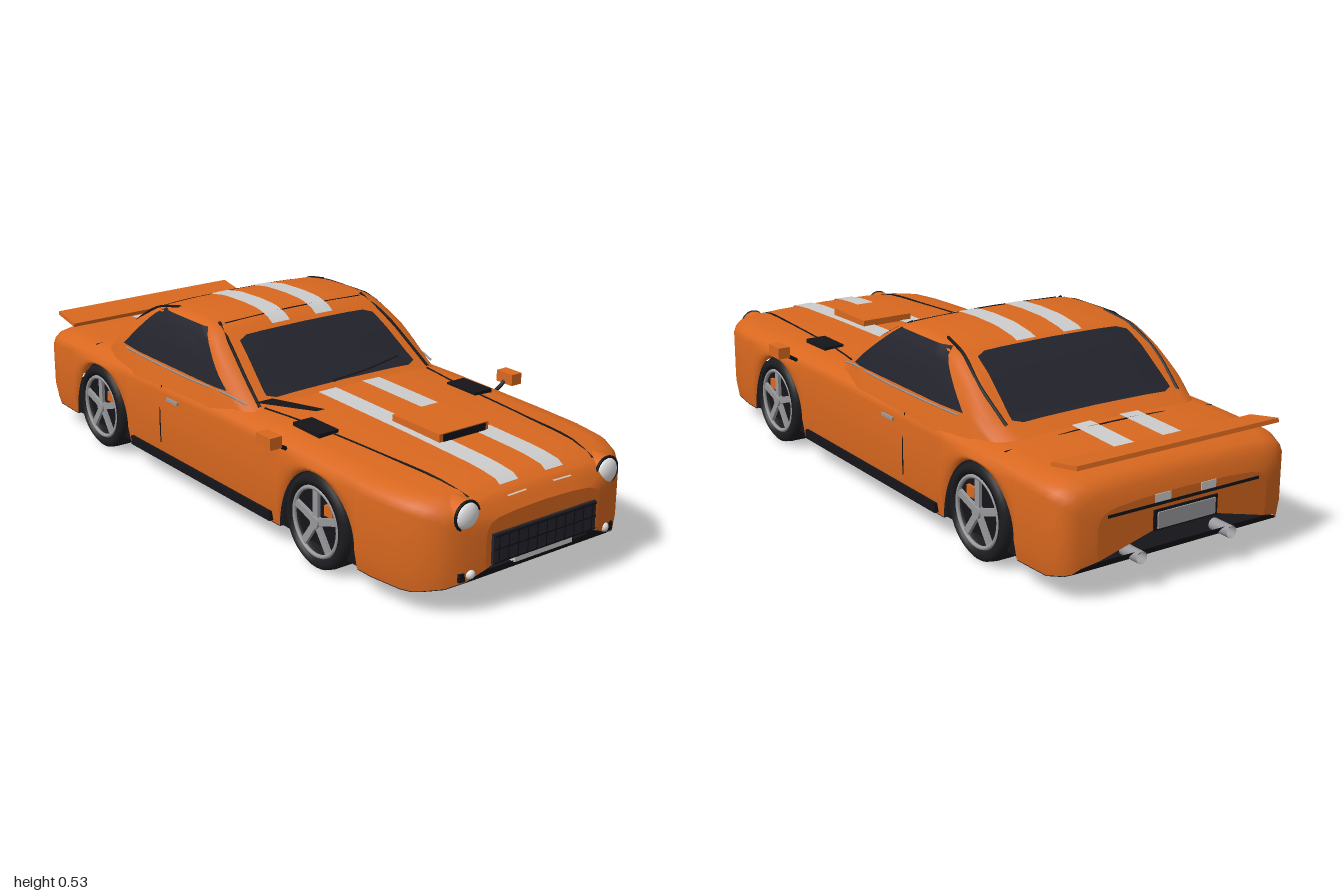
import * as THREE from 'three';

const mat = (name, color) => new THREE.MeshStandardMaterial({ name, color, side: THREE.DoubleSide });

// Linear interpolation in a list of [key, value] pairs (ascending keys)
function tab(pts, k) {
  if (k <= pts[0][0]) return pts[0][1];
  for (let i = 1; i < pts.length; i++) {
    const [a, va] = pts[i - 1], [b, vb] = pts[i];
    if (k <= b) return va + (vb - va) * (k - a) / (b - a || 1);
  }
  return pts[pts.length - 1][1];
}

// Body outline rules: half width, top and bottom heights along x
const halfW = x => tab([[-0.985, 0.28], [-0.975, 0.33], [-0.95, 0.365], [-0.9, 0.382], [-0.8, 0.386], [0.75, 0.386],
  [0.85, 0.372], [0.91, 0.345], [0.95, 0.31], [0.975, 0.26], [0.988, 0.2]], x);
const topY = x => tab([[-0.985, 0.25], [-0.975, 0.285], [-0.95, 0.315], [-0.9, 0.328], [-0.65, 0.338], [-0.2, 0.345],
  [0.2, 0.35], [0.6, 0.343], [0.85, 0.335], [0.92, 0.325], [0.96, 0.305], [0.988, 0.265]], x);
const botY = x => tab([[-0.985, 0.11], [-0.96, 0.08], [-0.9, 0.066], [0.88, 0.066], [0.95, 0.085], [0.975, 0.1], [0.988, 0.125]], x);

const AXLES = [-0.61, 0.525], ARCH_W = 0.17, ARCH_H = 0.21;
const archY = x => Math.max(0, ...AXLES.map(c => {
  const d = (x - c) / ARCH_W;
  return Math.abs(d) < 1 ? 0.066 + ARCH_H * Math.sqrt(1 - d * d) : 0;
}));

// Half cross-sections as [z, y] from the centre line outwards and down
function bodySection(x) {
  const w = halfW(x), t = topY(x), b = Math.max(botY(x), archY(x)), s = t - 0.055;
  return [[0, t], [0.5 * w, t - 0.003], [0.8 * w, t - 0.009], [0.92 * w, t - 0.018], [0.975 * w, t - 0.034], [w, s],
    [w, b + (s - b) * 0.6], [w, b + (s - b) * 0.25], [0.975 * w, b]];
}
const roofY = x => tab([[-0.68, 0.325], [-0.6, 0.37], [-0.48, 0.465], [-0.39, 0.515], [-0.3, 0.53], [-0.2, 0.533], [-0.12, 0.53],
  [-0.07, 0.517], [0.04, 0.445], [0.12, 0.385], [0.17, 0.352], [0.22, 0.33]], x);
const sideZ = (x, y) => tab([[0.29, 0.384], [0.355, 0.365], [0.4, 0.352], [0.45, 0.335], [0.49, 0.315], [0.53, 0.29]], y) *
  tab([[-0.68, 0.84], [-0.55, 0.96], [-0.4, 1], [0.02, 1], [0.22, 0.9]], x);
function cabinSection(x) {
  const h = roofY(x), s = h - 0.035, e = sideZ(x, s);
  const pts = [[0, h], [0.5 * e, h - 0.002], [e - 0.05, h - 0.007], [e - 0.014, h - 0.018], [e, s]];
  for (let i = 1; i <= 4; i++) {
    const y = s + (0.285 - s) * i / 4;
    pts.push([sideZ(x, y), y]);
  }
  return pts;
}
const yAt = (section, x, z) => tab(section(x), Math.abs(z));
const zAt = (section, x, y) => tab(section(x).map(([z, h]) => [h, z]).reverse(), y);

// Grid surface from a rule f(u, v) -> [x, y, z]
function patch(nu, nv, f) {
  const pos = [], idx = [];
  for (let i = 0; i <= nu; i++) for (let j = 0; j <= nv; j++) pos.push(...f(i / nu, j / nv));
  for (let i = 0; i < nu; i++) for (let j = 0; j < nv; j++) {
    const a = i * (nv + 1) + j, b = a + nv + 1;
    idx.push(a, a + 1, b, b, a + 1, b + 1);
  }
  const g = new THREE.BufferGeometry();
  g.setAttribute('position', new THREE.Float32BufferAttribute(pos, 3));
  g.setIndex(idx);
  g.computeVertexNormals();
  return g;
}
// Skin over mirrored cross-sections, closed at both ends
function loft(xs, section) {
  const rows = xs.map(x => {
    const h = section(x);
    return [...h.slice(1).reverse().map(([z, y]) => [x, y, -z]), ...h.map(([z, y]) => [x, y, z])];
  });
  const cap = r => r.map(p => [p[0], (r[0][1] + r[(r.length - 1) / 2][1]) / 2, 0]);
  rows.unshift(cap(rows[0]), rows[0]);
  rows.push(rows[rows.length - 1], cap(rows[rows.length - 1]));
  const nu = rows.length - 1, nv = rows[0].length - 1;
  return patch(nu, nv, (u, v) => rows[Math.round(u * nu)][Math.round(v * nv)]);
}

export function createModel() {
  const car = new THREE.Group();
  const paint = mat('orange paint', 0xd9681f), glass = mat('dark glass', 0x23232d), black = mat('black trim', 0x15151a);
  const rubber = mat('rubber', 0x1c1c20), white = mat('white stripe', 0xcdcdcd), silver = mat('silver', 0x98989c);
  const lamp = mat('lamp white', 0xe4e4e4);

  const add = (name, geo, m, p = [0, 0, 0], parent = car) => {
    const mesh = new THREE.Mesh(geo, m);
    mesh.name = name;
    mesh.position.set(...p);
    parent.add(mesh);
    return mesh;
  };
  const box = (name, s, m, p, parent) => add(name, new THREE.BoxGeometry(...s), m, p, parent);
  const line = (name, pts, r, m = black) => add(name,
    new THREE.TubeGeometry(new THREE.CatmullRomCurve3(pts.map(p => new THREE.Vector3(...p))), 16, r, 5), m);
  // Thin plate on top of a surface, with its half-width edges given by x
  const decal = (name, section, x0, x1, z0, z1, m, lift = 0.004) => add(name, patch(16, 8, (u, v) => {
    const x = x0 + (x1 - x0) * u, a = z0(u), z = a + (z1(u) - a) * v;
    return [x, yAt(section, x, z) + lift, z];
  }), m);
  const seam = (name, section, pts, r = 0.003, m = black) =>
    line(name, pts.map(([x, z]) => [x, yAt(section, x, z) + 0.001, z]), r, m);

  // Body stations, dense at the arches and the rounded ends
  const xs = [-0.985, -0.975, -0.962, -0.95, -0.925, -0.9, -0.85, -0.8, -0.3, -0.1, 0.1, 0.25, 0.75, 0.8, 0.85, 0.88, 0.91,
    0.93, 0.95, 0.962, 0.975, 0.988];
  for (const c of AXLES) for (let i = 0; i <= 24; i++) xs.push(c - ARCH_W * Math.cos(i * Math.PI / 24));
  xs.sort((a, b) => a - b);
  add('body', loft(xs, bodySection), paint);
  add('underbody', patch(xs.length - 1, 2, (u, v) => {
    const x = xs[Math.round(u * (xs.length - 1))];
    return [x, botY(x) - 0.002, (v * 2 - 1) * (archY(x) > 0.07 ? 0.27 : halfW(x) * 0.975)];
  }), black);

  // Cabin
  const cx = Array.from({ length: 46 }, (_, i) => -0.68 + i * 0.02);
  add('cabin', loft(cx, cabinSection), paint);
  const inset = (a, b) => u => {
    const end = Math.max(0, Math.abs(u - 0.5) * 2 - 0.85) / 0.15;
    return a + (b - a) * u - Math.sign(a) * 0.03 * end * end;
  };
  decal('windscreen', cabinSection, -0.03, 0.16, inset(-0.245, -0.275), inset(0.245, 0.275), glass);
  decal('rearWindow', cabinSection, -0.615, -0.41, inset(-0.27, -0.255), inset(0.27, 0.255), glass);

  // Racing stripes
  for (const s of [1, -1]) for (const [sec, a, b] of [[bodySection, 0.18, 0.968], [cabinSection, -0.4, -0.045], [bodySection, -0.86, -0.645]])
    decal('stripe', sec, a, b, () => 0.048 * s, () => 0.112 * s, white, 0.003);

  // Bonnet scoop, spoiler and panel gaps
  box('bonnetScoop', [0.195, 0.028, 0.175], paint, [0.58, 0.351, 0]);
  box('scoopOpening', [0.006, 0.02, 0.15], black, [0.678, 0.353, 0]);
  box('spoiler', [0.105, 0.012, 0.665], paint, [-0.912, 0.348, 0]).rotation.z = -0.18;
  seam('bootGap', bodySection, [[-0.685, -0.35], [-0.685, -0.1], [-0.685, 0.1], [-0.685, 0.35]], 0.002);
  seam('roofGap', cabinSection, [[-0.09, -0.25], [-0.09, 0], [-0.09, 0.25]], 0.002);
  seam('wiper', cabinSection, [[0.155, 0.04], [0.145, -0.1], [0.125, -0.23]], 0.004);
  add('cowlFlap', patch(4, 2, (u, v) => {
    const x = 0.16 + u * 0.16, z = 0.29 - u * 0.08 + (v - 0.5) * 0.06 * (1 - 0.5 * u);
    return [x, 0.357, z];
  }), black);

  for (const s of [1, -1]) {
    // Side glass and trim
    add('sideWindow', patch(14, 8, (u, v) => {
      const y = 0.372 + 0.138 * v, x = (-0.5 + 0.15 * v) * (1 - u) + (0.07 - 0.175 * v) * u;
      return [x, y + 0.002, (zAt(cabinSection, x, y) + 0.004) * s];
    }), glass);
    line('windowTrim', [-0.48, -0.3, -0.1, 0.08, 0.15].map(x => [x, 0.364 - (x > 0.1 ? 0.012 : 0), (sideZ(x, 0.364) + 0.002) * s]), 0.003, silver);
    seam('frontPillarTrim', cabinSection, [[-0.1, 0.262 * s], [0, 0.285 * s], [0.09, 0.3 * s], [0.17, 0.31 * s]], 0.005);
    seam('rearPillarTrim', cabinSection, [[-0.61, 0.29 * s], [-0.5, 0.3 * s], [-0.4, 0.285 * s], [-0.3, 0.27 * s]], 0.005);
    seam('bonnetGap', bodySection, [[0.18, 0.3 * s], [0.35, 0.275 * s], [0.65, 0.25 * s], [0.85, 0.235 * s], [0.94, 0.22 * s]], 0.003);
    box('bonnetVent', [0.12, 0.012, 0.065], black, [0.39, yAt(bodySection, 0.39, 0.28) + 0.003, 0.28 * s]);
    // Doors, sills and mirrors
    line('doorGap', [[-0.245, 0.13, 0.386 * s], [-0.245, 0.22, 0.386 * s], [-0.245, 0.31, 0.378 * s]], 0.002);
    box('doorHandle', [0.06, 0.009, 0.012], silver, [-0.17, 0.28, 0.386 * s]);
    box('sill', [0.74, 0.028, 0.016], black, [-0.045, 0.086, 0.383 * s]);
    line('mirrorStalk', [[0.39, 0.305, 0.38 * s], [0.39, 0.32, 0.405 * s], [0.39, 0.336, 0.425 * s]], 0.006);
    box('mirror', [0.065, 0.034, 0.038], paint, [0.392, 0.343, 0.437 * s]);

    // Front lamps
    const housing = add('headlightHousing', new THREE.CylinderGeometry(0.04, 0.045, 0.09, 28), paint, [0.92, 0.275, 0.247 * s]);
    housing.rotation.z = -Math.PI / 2;
    add('headlightRim', new THREE.TorusGeometry(0.039, 0.004, 8, 28), black, [0.966, 0.275, 0.247 * s]).rotation.y = Math.PI / 2;
    add('headlight', new THREE.SphereGeometry(0.037, 24, 14), lamp, [0.964, 0.275, 0.247 * s]).scale.x = 0.5;
    box('fogLampRecess', [0.05, 0.024, 0.1], black, [0.95, 0.114, 0.224 * s]);
    add('fogLamp', new THREE.SphereGeometry(0.014, 14, 10), lamp, [0.974, 0.119, 0.24 * s]);

    // Rear details
    const pipe = add('exhaust', new THREE.CylinderGeometry(0.017, 0.017, 0.07, 18, 1, true), silver, [-0.965, 0.095, 0.15 * s]);
    pipe.rotation.z = Math.PI / 2;
    box('rearStripe', [0.006, 0.022, 0.05], white, [-0.984, 0.238, 0.075 * s]);
  }

  // Grille and plates
  box('grille', [0.04, 0.082, 0.364], glass, [0.976, 0.176, 0]);
  for (let i = -5; i <= 5; i++) box('grilleBar', [0.006, 0.078, 0.004], black, [0.997, 0.176, i * 0.033]);
  for (const y of [0.14, 0.176, 0.212]) box('grilleSlat', [0.006, 0.005, 0.36], black, [0.997, y, 0]);
  box('frontPlate', [0.02, 0.017, 0.205], white, [0.982, 0.127, 0]);
  box('rearPanelGap', [0.006, 0.008, 0.5], black, [-0.984, 0.222, 0]);
  box('rearPlateFrame', [0.01, 0.056, 0.21], black, [-0.985, 0.18, 0]);
  box('rearPlate', [0.006, 0.044, 0.19], silver, [-0.991, 0.18, 0]);

  // Wheels in dark wells
  const v2 = pts => pts.map(p => new THREE.Vector2(...p));
  const tyre = new THREE.LatheGeometry(v2([[0, -0.055], [0.118, -0.055], [0.132, -0.045], [0.135, -0.025], [0.135, 0.025],
    [0.132, 0.044], [0.12, 0.053], [0.104, 0.05], [0.098, 0.02], [0, 0.018]]), 40).rotateX(Math.PI / 2);
  const wellShape = new THREE.Shape();
  wellShape.absellipse(0, 0, ARCH_W + 0.004, ARCH_H + 0.004, 0, Math.PI);
  const well = new THREE.ExtrudeGeometry(wellShape, { depth: 0.12, bevelEnabled: false, curveSegments: 24 });
  for (const x of AXLES) for (const s of [1, -1]) {
    add('wheelWell', well, black, [x, 0.064, s > 0 ? 0.245 : -0.365]);
    const wheel = new THREE.Group();
    wheel.name = 'wheel';
    wheel.position.set(x, 0.138, 0.337 * s);
    if (s < 0) wheel.rotation.y = Math.PI;
    car.add(wheel);
    add('tyre', tyre, rubber, [0, 0, 0], wheel);
    add('rim', new THREE.TorusGeometry(0.096, 0.006, 8, 36), silver, [0, 0, 0.044], wheel);
    add('brakeDisc', new THREE.CircleGeometry(0.06, 24), black, [0, 0, 0.022], wheel);
    box('brakeCaliper', [0.035, 0.03, 0.016], paint, [0.045 * s, 0.042, 0.03], wheel);
    for (let i = 0; i < 5; i++) {
      const a = Math.PI / 2 + i * Math.PI * 2 / 5;
      const spoke = box('spoke', [0.088, 0.02, 0.01], silver, [Math.cos(a) * 0.05, Math.sin(a) * 0.05, 0.042], wheel);
      spoke.rotation.z = a;
    }
    add('hub', new THREE.CylinderGeometry(0.017, 0.02, 0.016, 16).rotateX(Math.PI / 2), silver, [0, 0, 0.044], wheel);
  }
  return car;
}
